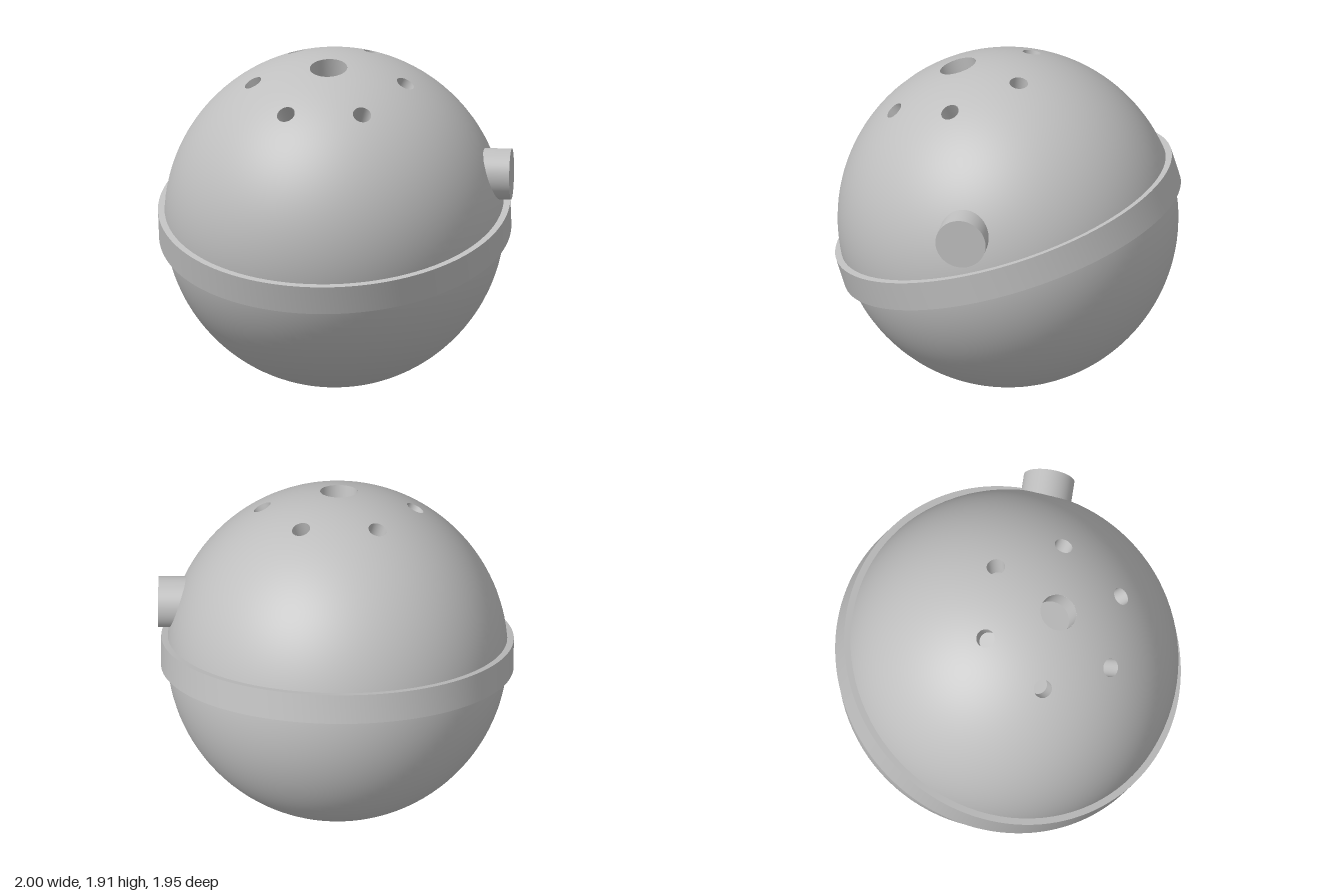
import * as THREE from 'three';
import { toCreasedNormals } from 'three/addons/utils/BufferGeometryUtils.js';

const R = 0.955; // ball radius
const deg = THREE.MathUtils.degToRad;
const HOLE_POLAR = deg(26.7), BAND_TOP = deg(17), BAND_END = deg(37);
const BIG_R = 0.105, SMALL_R = 0.052, DEPTH = 0.135;
const UP = new THREE.Vector3(0, 1, 0);

const onSphere = (polar, az) =>
  new THREE.Vector3(Math.sin(polar) * Math.sin(az), Math.cos(polar), Math.sin(polar) * Math.cos(az));

// One sixth of the drilled band: lofted from a round hole out to the sector border
function sectorGeometry() {
  const half = deg(30), border = [];
  const edge = (n, p0, a0, p1, a1) => {
    for (let i = 0; i < n; i++) {
      const t = i / n;
      border.push(onSphere(p0 + (p1 - p0) * t, a0 + (a1 - a0) * t));
    }
  };
  edge(16, BAND_END, -half, BAND_END, half);
  edge(8, BAND_END, half, BAND_TOP, half);
  edge(16, BAND_TOP, half, BAND_TOP, -half);
  edge(8, BAND_TOP, -half, BAND_END, -half);

  const c = onSphere(HOLE_POLAR, 0);
  const u = new THREE.Vector3(1, 0, 0), v = c.clone().cross(u);
  const rho = Math.asin(SMALL_R / R), rings = 8, n = border.length;
  const pos = [], nor = [], index = [];
  for (let i = 0; i <= rings; i++) {
    for (const q of border) {
      const ang = Math.atan2(q.dot(v), q.dot(u));
      const d = c.clone().multiplyScalar(Math.cos(rho))
        .addScaledVector(u, Math.cos(ang) * Math.sin(rho))
        .addScaledVector(v, Math.sin(ang) * Math.sin(rho))
        .lerp(q, i / rings).normalize();
      nor.push(d.x, d.y, d.z);
      pos.push(d.x * R, d.y * R, d.z * R);
    }
  }
  for (let i = 0; i < rings; i++) {
    for (let k = 0; k < n; k++) {
      const k1 = (k + 1) % n;
      const a = i * n + k, b = a + n, e = (i + 1) * n + k1, f = i * n + k1;
      index.push(a, b, e, a, e, f);
    }
  }
  const g = new THREE.BufferGeometry();
  g.setAttribute('position', new THREE.Float32BufferAttribute(pos, 3));
  g.setAttribute('normal', new THREE.Float32BufferAttribute(nor, 3));
  g.setIndex(index);
  return g;
}

export function createModel() {
  const model = new THREE.Group();
  model.name = 'drilledBall';
  const grey = new THREE.MeshStandardMaterial({ color: 0xbfbfbf, side: THREE.DoubleSide });
  grey.name = 'grey';

  const add = (parent, name, geometry) => {
    const mesh = new THREE.Mesh(geometry, grey);
    mesh.name = name;
    parent.add(mesh);
    return mesh;
  };

  // Tilted ball: its pole runs through the large hole
  const ball = new THREE.Group();
  ball.name = 'ball';
  const axis = new THREE.Vector3(0.12, 0.953, 0.277).normalize();
  const front = new THREE.Vector3(-0.0417, -0.1163, 0.4214).projectOnPlane(axis).normalize();
  const side = axis.clone().cross(front);
  ball.quaternion.setFromRotationMatrix(new THREE.Matrix4().makeBasis(side, axis, front));
  ball.position.set(-0.008, R, 0);
  model.add(ball);

  const bigAngle = Math.asin(BIG_R / R);
  add(ball, 'upperShell', new THREE.SphereGeometry(R, 96, 8, 0, Math.PI * 2, bigAngle, BAND_TOP - bigAngle));
  add(ball, 'lowerShell', new THREE.SphereGeometry(R, 96, 48, 0, Math.PI * 2, BAND_END, Math.PI - BAND_END));

  // Round blind hole drilled towards the ball's centre
  const addWell = (name, radius, polar, az) => {
    const well = new THREE.Group();
    well.name = name;
    const rim = Math.sqrt(R * R - radius * radius);
    const wall = add(well, 'holeWall', new THREE.CylinderGeometry(radius, radius, DEPTH, 48, 1, true));
    wall.position.y = rim - DEPTH / 2;
    const floor = add(well, 'holeFloor', new THREE.CircleGeometry(radius, 48));
    floor.rotation.x = -Math.PI / 2;
    floor.position.y = rim - DEPTH;
    well.quaternion.setFromUnitVectors(UP, onSphere(polar, az));
    ball.add(well);
  };
  addWell('largeHole', BIG_R, 0, 0);

  const sector = sectorGeometry();
  for (let i = 0; i < 6; i++) {
    const az = i * Math.PI / 3;
    add(ball, 'drilledSector', sector).rotation.y = az;
    addWell('smallHole', SMALL_R, HOLE_POLAR, az);
  }

  // Raised belt around the ball's equator
  const inner = 0.94, outer = 0.988, h = 0.085;
  const belt = [[inner, -h], [outer, -h], [outer, h], [inner, h]].map(p => new THREE.Vector2(...p));
  add(ball, 'belt', toCreasedNormals(new THREE.LatheGeometry(belt, 128), 0.5));

  // Round button on the upper side
  const out = new THREE.Vector3(0.908, 0, -0.419).normalize();
  const length = 0.3;
  const button = add(model, 'button', new THREE.CylinderGeometry(0.143, 0.143, length, 64));
  button.quaternion.setFromUnitVectors(UP, out);
  button.position.set(0.939, 1.235, -0.344).addScaledVector(out, -length / 2);

  return model;
}
